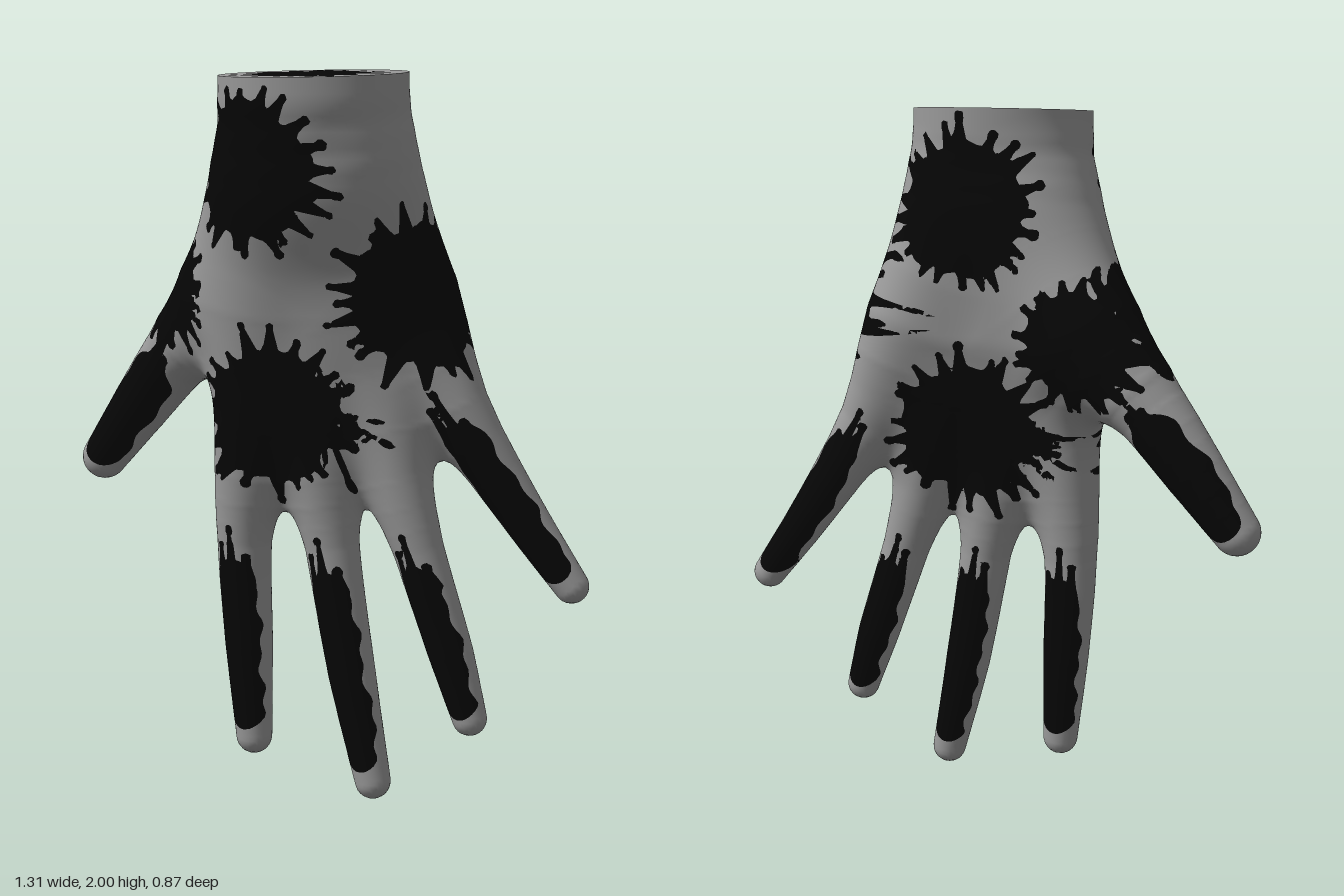
import * as THREE from 'three';

// Limbs as chains of [x, y, z, radius]; they are blended into one skin
const LIMBS = [
  { name: 'wristThumbSide', blend: 0.12, pts: [[.128, 2.25, .19, .196], [.128, 1.92, .19, .196], [.113, 1.72, .16, .173]] },
  { name: 'wristLittleSide', blend: 0.12, pts: [[.202, 2.25, .108, .196], [.202, 1.92, .108, .196], [.187, 1.72, .08, .173]] },
  { name: 'indexFinger', blend: 0.12, pts: [[.08, 1.7, .17, .12], [0, 1.35, .195, .13], [-.045, .9, .217, .096], [-.065, .7, .22, .076], [-.06, .4, .21, .067], [-.045, .137, .205, .051]] },
  { name: 'middleFinger', blend: 0.12, pts: [[.15, 1.7, .13, .12], [.12, 1.35, .1, .13], [.12, .9, .09, .095], [.146, .7, .073, .074], [.2, .35, .045, .066], [.264, .05, .02, .05]] },
  { name: 'ringFinger', blend: 0.12, pts: [[.2, 1.7, .09, .12], [.21, 1.35, 0, .13], [.288, .9, -.048, .086], [.337, .7, -.08, .069], [.407, .42, -.137, .062], [.455, .242, -.165, .048]] },
  { name: 'littleFinger', blend: 0.12, pts: [[.24, 1.75, .05, .12], [.28, 1.4, -.11, .115], [.38, 1.1, -.17, .088], [.495, .82, -.297, .065], [.61, .61, -.39, .048]] },
  { name: 'thumb', blend: 0.22, pts: [[.04, 1.66, .18, .125], [-.18, 1.39, .19, .142], [-.37, 1.19, .25, .1], [-.48, 1.045, .3, .085], [-.588, .885, .363, .066]] },
];
const mix = (a, b, t) => a.map((v, i) => v + (b[i] - v) * t);

// Smooth each chain into short tapered segments
function segments(pts) {
  const curve = new THREE.CatmullRomCurve3(pts.map(p => new THREE.Vector3(p[0], p[1], p[2])));
  const n = (pts.length - 1) * 3, out = [];
  const at = i => {
    const k = Math.min(Math.floor(i / 3), pts.length - 2);
    return [...curve.getPoint(i / n).toArray(), THREE.MathUtils.lerp(pts[k][3], pts[k + 1][3], i / 3 - k)];
  };
  for (let i = 0; i < n; i++) {
    const a = at(i), d = at(i + 1).map((v, j) => v - a[j]);
    out.push({ x: a[0], y: a[1], z: a[2], r: a[3], dx: d[0], dy: d[1], dz: d[2], dr: d[3], l2: d[0] ** 2 + d[1] ** 2 + d[2] ** 2 });
  }
  return out;
}
LIMBS.forEach(l => { l.segs = segments(l.pts); });

function limbDistance(segs, x, y, z) {
  let best = 1e9;
  for (let i = 0; i < segs.length; i++) {
    const s = segs[i], px = x - s.x, py = y - s.y, pz = z - s.z;
    const t = Math.max(0, Math.min(1, (px * s.dx + py * s.dy + pz * s.dz) / s.l2));
    const ex = px - t * s.dx, ey = py - t * s.dy, ez = pz - t * s.dz;
    best = Math.min(best, Math.sqrt(ex * ex + ey * ey + ez * ez) - s.r - t * s.dr);
  }
  return best;
}

// Smooth union of all limbs
function field(x, y, z) {
  let d = 1e9;
  for (const l of LIMBS) {
    const e = limbDistance(l.segs, x, y, z);
    const h = Math.max(l.blend - Math.abs(d - e), 0) / l.blend;
    d = Math.min(d, e) - h * h * l.blend / 4;
  }
  return d;
}

// Slanted cut at the top of the wrist
const cutHeight = (x, z) => 1.977 - 0.06 * (x - .165) - 0.07 * (z - .147);

// Paint shapes, negative inside
function spike(u, v, a, b, r0, r1) {
  const dx = b[0] - a[0], dy = b[1] - a[1];
  const t = Math.max(0, Math.min(1, ((u - a[0]) * dx + (v - a[1]) * dy) / (dx * dx + dy * dy)));
  return Math.hypot(u - a[0] - t * dx, v - a[1] - t * dy) - r0 - (r1 - r0) * t;
}

// Round splash wrapped over the skin, facing the direction (nx, nz) or straight up
function splat(c, [nx, nz], R, seed) {
  const spikes = [], rays = 22, flatUp = !nx && !nz;
  const rnd = () => (seed = (seed * 16807) % 2147483647) / 2147483647;
  for (let i = 0; i < rays; i++) {
    const a = (i + rnd() * 0.7) / rays * Math.PI * 2, len = R * (1.12 + 0.32 * rnd());
    spikes.push({ tip: [Math.cos(a) * len, Math.sin(a) * len], r: 0.008 + 0.008 * rnd() });
  }
  return p => {
    const [x, y, z] = p.map((v, i) => v - c[i]);
    let u = flatUp ? x : x * nz - z * nx, v = flatUp ? z : y;
    const s = Math.hypot(x, y, z) / (Math.hypot(u, v) + 1e-9), a = Math.atan2(v, u);
    u *= s; v *= s;
    let d = Math.hypot(u, v) - R * (1 + 0.05 * Math.sin(5 * a + R * 40) + 0.03 * Math.sin(13 * a));
    if (d > R) return d;
    for (const k of spikes) d = Math.min(d, spike(u, v, [0, 0], k.tip, 0.06, 0.007), Math.hypot(u - k.tip[0], v - k.tip[1]) - k.r);
    return d;
  };
}

// Long stripe on both faces of a finger, with drips running toward the palm
const flat = p => [p[0] * 0.917 - p[2] * 0.4, p[1]];
function stripe(pts) {
  const [p, b, q] = pts.slice(-3).map(flat), a = mix(p, b, 0.35), c = mix(b, q, 0.72);
  const w = pts[pts.length - 2][3] * 0.87, len = Math.hypot(a[0] - b[0], a[1] - b[1]);
  const ex = (a[0] - b[0]) / len, ey = (a[1] - b[1]) / len;
  const drips = [[-.04, .07], [0, .15], [.035, .1]].map(([s, l]) =>
    [[a[0] - ey * s, a[1] + ex * s], [a[0] - ey * s + ex * l, a[1] + ey * l]]);
  return point => {
    const [u, v] = flat(point);
    return Math.min(
      Math.min(spike(u, v, a, b, w, w), spike(u, v, b, c, w, w * 0.85)) - 0.003 * Math.sin(v * 70) - 0.003 * Math.sin(v * 31),
      ...drips.map(([s, e]) => Math.min(spike(u, v, s, e, 0.018, 0.007), Math.hypot(u - e[0], v - e[1]) - 0.013)));
  };
}
const PAINT = [
  ...LIMBS.slice(2).map(l => stripe(l.pts)),
  splat([.15, 1.725, .36], [.3, .95], .18, 301), // wrist front
  splat([.08, 1.72, -.06], [-.45, -.9], .18, 502), // wrist back
  splat([.1, 1.07, .245], [.45, .89], .18, 703), // palm front
  splat([.095, 1.09, -.04], [-.5, -.87], .19, 904), // palm back
  splat([-.25, 1.42, .31], [.4, .917], .15, 1105), // thumb base front
  splat([-.25, 1.37, .06], [-.4, -.917], .15, 1306), // thumb base back
  splat([.385, 1.4, -.04], [1, 0], .185, 1507), // outer edge
];
const capPaint = splat([.17, 1.976, .165], [0, 0], .145, 1708);
const paint = p => Math.min(...PAINT.map(f => f(p)));

// Keep the part of a polygon where sign * key is below zero
function clip(poly, key, sign) {
  const out = [];
  poly.forEach((a, i) => {
    const b = poly[(i + 1) % poly.length], fa = a[key] * sign, fb = b[key] * sign;
    if (fa < 0) out.push(a);
    if ((fa < 0) !== (fb < 0)) {
      const t = fa / (fa - fb);
      out.push({ p: mix(a.p, b.p, t), n: mix(a.n, b.n, t), paint: a.paint + (b.paint - a.paint) * t });
    }
  });
  return out;
}

// A named part: bare skin and paint, divided along the paint outline
function addPart(group, name, polys) {
  const part = new THREE.Group();
  part.name = name;
  for (const [suffix, color, sign] of [['Skin', 0x999999, -1], ['Paint', 0x060606, 1]]) {
    const pos = [], nor = [];
    for (const poly of polys) {
      const c = clip(poly, 'paint', sign);
      for (let i = 2; i < c.length; i++) for (const v of [c[0], c[i - 1], c[i]]) { pos.push(...v.p); nor.push(...v.n); }
    }
    if (!pos.length) continue;
    const g = new THREE.BufferGeometry();
    g.setAttribute('position', new THREE.Float32BufferAttribute(pos, 3));
    g.setAttribute('normal', new THREE.Float32BufferAttribute(nor, 3));
    const mesh = new THREE.Mesh(g, new THREE.MeshStandardMaterial({ color }));
    mesh.name = name + suffix;
    part.add(mesh);
  }
  group.add(part);
}

// Skin vertex pulled onto the blended surface
function skinVertex(x, y, z) {
  const e = 0.008, d = field(x, y, z);
  const g = [field(x + e, y, z) - field(x - e, y, z), field(x, y + e, z) - field(x, y - e, z), field(x, y, z + e) - field(x, y, z - e)];
  const len = Math.hypot(...g) || 1, n = g.map(v => v / len), p = [x - n[0] * d, y - n[1] * d, z - n[2] * d];
  const ds = LIMBS.map(l => limbDistance(l.segs, ...p));
  return { p, n, paint: paint(p), over: p[1] - cutHeight(p[0], p[2]), limb: ds.indexOf(Math.min(...ds)) };
}

// Grid walk over the field: one vertex per crossed cell, one quad per crossed edge
function skinPolys() {
  const h = 0.0135, o = [-.72, -.05, -.5], N = [107, 156, 74], step = [1, N[0], N[0] * N[1]];
  const val = new Float32Array(N[0] * N[1] * N[2]), cells = new Map(), polys = LIMBS.map(() => []);
  const each = fn => {
    for (let k = 0; k < N[2]; k++) for (let j = 0; j < N[1]; j++) for (let i = 0; i < N[0]; i++) fn([i, j, k], i + j * step[1] + k * step[2]);
  };
  each((c, id) => { val[id] = field(o[0] + c[0] * h, o[1] + c[1] * h, o[2] + c[2] * h); });
  const corner = b => (b & 1) * step[0] + (b >> 1 & 1) * step[1] + (b >> 2) * step[2];
  each((c, id) => {
    if (Math.abs(val[id]) > 0.06 || c.some((v, a) => v >= N[a] - 1)) return;
    const s = [0, 0, 0];
    let count = 0;
    for (let b = 0; b < 8; b++) for (let a = 0; a < 3; a++) {
      if (b >> a & 1) continue;
      const f = val[id + corner(b)], g = val[id + corner(b | 1 << a)];
      if ((f < 0) === (g < 0)) continue;
      for (let m = 0; m < 3; m++) s[m] += m === a ? f / (f - g) : b >> m & 1;
      count++;
    }
    if (count) cells.set(id, skinVertex(...c.map((v, a) => o[a] + h * (v + s[a] / count))));
  });
  each((c, id) => {
    for (let a = 0; a < 3; a++) {
      if (c[a] >= N[a] - 1 || (val[id] < 0) === (val[id + step[a]] < 0)) continue;
      const B = step[(a + 1) % 3], C = step[(a + 2) % 3];
      const q = [id, id - B, id - B - C, id - C].map(i => cells.get(i));
      if (q.some(v => !v)) continue;
      if (val[id] >= 0) q.reverse();
      for (const tri of [[q[0], q[1], q[2]], [q[0], q[2], q[3]]]) polys[q[0].limb].push(clip(tri, 'over', 1));
    }
  });
  return polys;
}

// Flat cap closing the cut wrist
function capPolys() {
  const n = 96, rings = 18, up = new THREE.Vector3(.06, 1, .07).normalize().toArray(), polys = [];
  const at = (a, r) => {
    const x = .165 + Math.cos(a) * r, z = .147 + Math.sin(a) * r;
    return [x, cutHeight(x, z), z];
  };
  const point = (i, j) => {
    const a = i / n * Math.PI * 2;
    let lo = 0, hi = 0.4;
    for (let s = 0; s < 20; s++) {
      const m = (lo + hi) / 2;
      if (field(...at(a, m)) < 0) lo = m; else hi = m;
    }
    const p = at(a, lo * j / rings);
    return { p, n: up, paint: capPaint(p) };
  };
  for (let i = 0; i < n; i++) for (let j = 0; j < rings; j++) {
    const a = point(i, j), b = point(i + 1, j), c = point(i + 1, j + 1), d = point(i, j + 1);
    polys.push([a, b, c], [a, c, d]);
  }
  return polys;
}

export function createModel() {
  const hand = new THREE.Group();
  hand.name = 'hand';
  skinPolys().forEach((polys, i) => addPart(hand, LIMBS[i].name, polys));
  addPart(hand, 'wristCap', capPolys());
  return hand;
}
